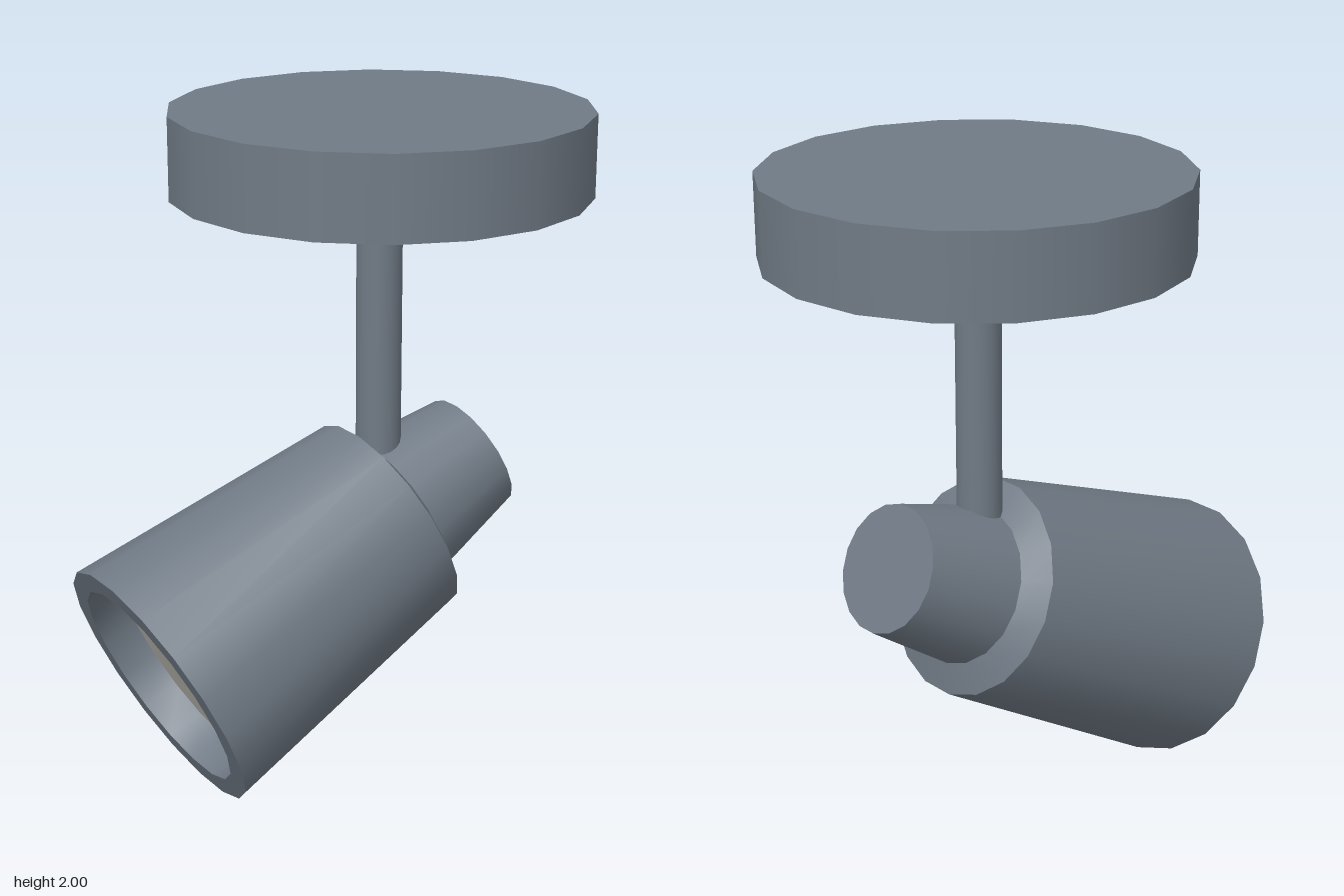
import * as THREE from 'three';
import { toCreasedNormals } from 'three/addons/utils/BufferGeometryUtils.js';

const SIDES = 18;

export function createModel() {
  const model = new THREE.Group();
  model.name = 'ceilingSpotlight';

  const metal = new THREE.MeshStandardMaterial({ color: 0x707a85 });
  metal.name = 'slateMetal';
  const glass = new THREE.MeshStandardMaterial({ color: 0xb8b6ae });
  glass.name = 'warmGreyGlass';

  const add = (parent, name, geometry, material, x, y) => {
    const mesh = new THREE.Mesh(geometry, material);
    mesh.name = name;
    mesh.position.set(x, y, 0);
    parent.add(mesh);
    return mesh;
  };

  // Ceiling plate, with a corner pointing along x
  add(model, 'ceilingPlate',
    new THREE.CylinderGeometry(0.62, 0.62, 0.245, SIDES, 1, false, Math.PI / 2),
    metal, 0.16, 1.8775);

  // Rod from the plate down into the lamp head
  add(model, 'rod', new THREE.CylinderGeometry(0.068, 0.068, 0.96, SIDES), metal, 0.158, 1.28);

  // Tilted lamp head: local y runs from the open mouth to the rear
  const head = new THREE.Group();
  head.name = 'lampHead';
  head.position.set(-0.61, 0.37, 0);
  head.rotation.z = THREE.MathUtils.degToRad(-64.9);
  model.add(head);

  // Shade: inner wall, front rim, tapered side and sloping shoulder
  const profile = [
    [0.34, 0.14], [0.34, 0], [0.41, 0], [0.33, 0.883], [0.235, 0.922],
  ].map(([r, y]) => new THREE.Vector2(r, y));
  add(head, 'shade', toCreasedNormals(new THREE.LatheGeometry(profile, SIDES), 0.6), metal, 0, 0);

  // Rear cap
  add(head, 'rearCap', new THREE.CylinderGeometry(0.19, 0.239, 0.308, SIDES), metal, 0, 1.074);

  // Recessed glass
  const lens = add(head, 'lens', new THREE.CircleGeometry(0.34, SIDES, Math.PI / 2), glass, 0, 0.115);
  lens.rotation.x = Math.PI / 2;

  return model;
}
